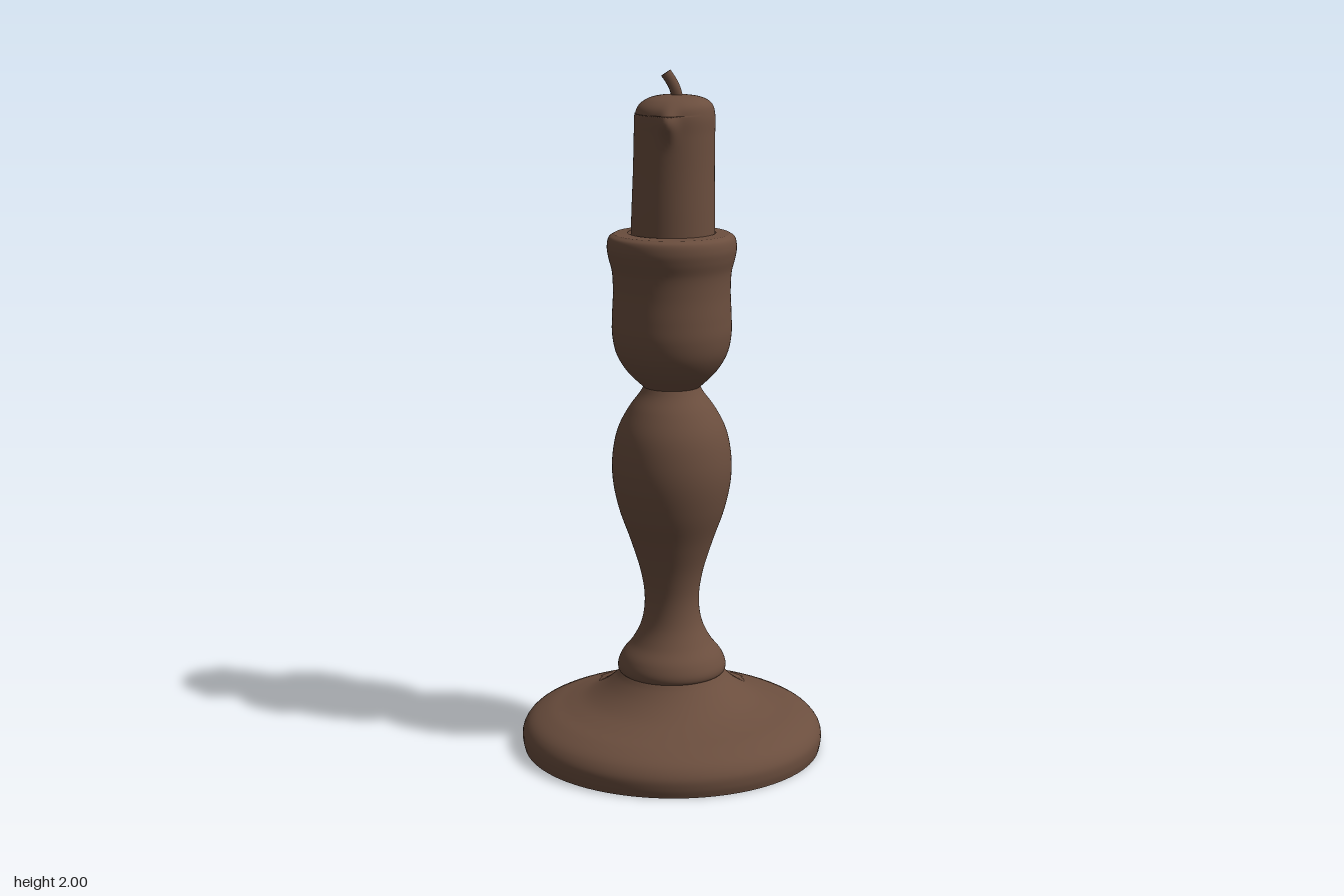
import * as THREE from 'three';
import { mergeVertices } from 'three/addons/utils/BufferGeometryUtils.js';

// Smooth profile curve through [radius, height] pairs
function smooth(pairs, n) {
  const pts = new THREE.CatmullRomCurve3(
    pairs.map(([r, y]) => new THREE.Vector3(r, y, 0)), false, 'centripetal').getPoints(n);
  return pts.map(p => new THREE.Vector2(Math.max(p.x, 0), p.y));
}

export function createModel() {
  const group = new THREE.Group();
  const brown = new THREE.MeshStandardMaterial({ color: 0x6b4e3e });
  brown.name = 'brown';

  const add = (name, geometry) => {
    const mesh = new THREE.Mesh(geometry, brown);
    mesh.name = name;
    group.add(mesh);
    return mesh;
  };
  const turned = (name, pairs, n) => add(name, new THREE.LatheGeometry(smooth(pairs, n), 72));

  // Wide foot, closed underneath
  const foot = turned('foot', [
    [0.438, 0], [0.443, 0.025], [0.441, 0.055], [0.42, 0.085], [0.37, 0.112], [0.31, 0.13],
    [0.25, 0.152], [0.2, 0.183], [0.165, 0.215], [0.15, 0.235]], 48);
  foot.scale.z = 1.012;
  const underside = add('footUnderside', new THREE.CircleGeometry(0.438, 72));
  underside.rotation.x = Math.PI / 2;
  underside.scale.y = 1.012;

  // Collar and turned stem
  turned('stem', [
    [0.14, 0.228], [0.156, 0.234], [0.16, 0.252], [0.148, 0.285], [0.117, 0.325], [0.09, 0.38],
    [0.08, 0.45], [0.09, 0.53], [0.12, 0.63], [0.155, 0.73], [0.173, 0.82], [0.173, 0.89],
    [0.158, 0.965], [0.125, 1.03], [0.092, 1.075], [0.078, 1.1]], 90);

  // Cup with rolled rim and socket
  turned('cup', [
    [0.076, 1.088], [0.09, 1.1], [0.13, 1.14], [0.16, 1.19], [0.172, 1.245], [0.172, 1.3],
    [0.169, 1.37], [0.172, 1.43], [0.182, 1.47], [0.186, 1.5], [0.18, 1.528], [0.165, 1.538]], 70);
  add('cupRim', new THREE.LatheGeometry(
    [[0.165, 1.538], [0.126, 1.54]].map(p => new THREE.Vector2(...p)), 72));
  add('cupSocket', new THREE.LatheGeometry(
    [[0.126, 1.54], [0.124, 1.49], [0, 1.49]].map(p => new THREE.Vector2(...p)), 72));

  // Candle, slightly leaning forward, with melted lumps near the top
  let wax = new THREE.LatheGeometry(smooth([
    [0.121, 1.48], [0.119, 1.6], [0.116, 1.72], [0.115, 1.82], [0.114, 1.875], [0.105, 1.905],
    [0.082, 1.921], [0.045, 1.929], [0, 1.932]], 70), 96);
  wax.deleteAttribute('uv');
  wax.deleteAttribute('normal');
  const pos = wax.attributes.position;
  const lumps = [ // x, z, height, bulge, angular width, vertical spread
    [-0.115, 0.078, 1.86, 0.026, 0.2, 0.04],
    [0.117, 0.028, 1.885, 0.01, 0.25, 0.03],
  ];
  for (let i = 0; i < pos.count; i++) {
    const x = pos.getX(i), y = pos.getY(i), z = pos.getZ(i);
    const r = Math.hypot(x, z), rim = Math.min(r / 0.11, 1) ** 3;
    let push = 0;
    for (const [lx, lz, ly, bulge, width, spread] of lumps) {
      let d = Math.abs(Math.atan2(z, x) - Math.atan2(lz, lx));
      d = Math.min(d, 2 * Math.PI - d);
      push += bulge * rim * Math.exp(-((d / width) ** 2) - ((y - ly) / spread) ** 2);
    }
    const k = r > 1e-5 ? 1 + push / r : 1;
    const t = (y - 1.48) / 0.45;
    const dip = y > 1.88 ? 0.012 * Math.max(0, -x / 0.11) * (r / 0.11) : 0;
    pos.setXYZ(i, x * k + 0.004 * t, y - dip, z * k + 0.003 + 0.006 * t);
  }
  wax = mergeVertices(wax, 1e-5);
  wax.computeVertexNormals();
  add('candle', wax);

  // Bent wick with a capped tip
  const path = new THREE.CatmullRomCurve3([
    new THREE.Vector3(0.006, 1.915, 0.018), new THREE.Vector3(-0.002, 1.945, 0.016),
    new THREE.Vector3(-0.01, 1.97, 0.007), new THREE.Vector3(-0.02, 1.992, -0.004)]);
  add('wick', new THREE.TubeGeometry(path, 12, 0.016, 10));
  const tip = add('wickTip', new THREE.CircleGeometry(0.016, 10));
  tip.position.copy(path.getPoint(1));
  tip.lookAt(path.getPoint(1).add(path.getTangent(1)));

  return group;
}
